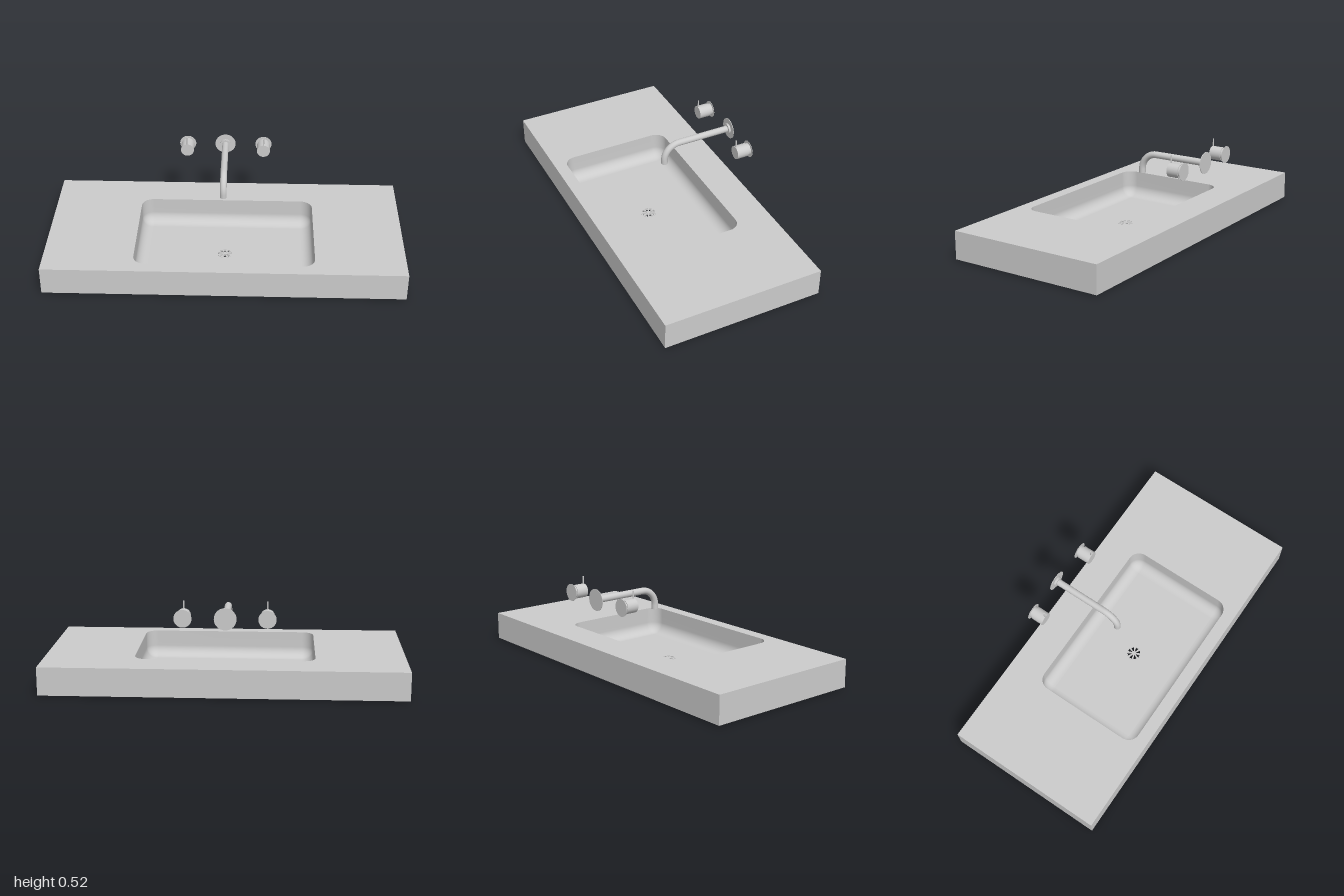
import * as THREE from 'three';

const grey = new THREE.MeshStandardMaterial({ color: 0xcccccc, side: THREE.DoubleSide });

const TOP = 0.163, BOTTOM = 0.005, FLOOR = 0.01, DEPTH = 0.91;
const BOWL = { z: 0.0625, hx: 0.5, hz: 0.3225, radius: 0.066, fillet: 0.062 };
const DRAIN = { x: -0.003, z: 0.065, r: 0.043 };

function add(parent, name, geometry, x = 0, y = 0, z = 0) {
  const mesh = new THREE.Mesh(geometry, grey);
  mesh.name = name;
  mesh.position.set(x, y, z);
  parent.add(mesh);
  return mesh;
}

// Rounded bowl outline in plan (shape y = -z), shrunk by an inset
function bowlOutline(inset) {
  const r = BOWL.radius - inset, points = [];
  const cx = BOWL.hx - BOWL.radius, cz = BOWL.hz - BOWL.radius;
  [[1, 1], [-1, 1], [-1, -1], [1, -1]].forEach(([sx, sy], q) => {
    for (let i = 0; i <= 10; i++) {
      const a = (q + i / 10) * Math.PI / 2;
      points.push(new THREE.Vector2(sx * cx + r * Math.cos(a), sy * cz + r * Math.sin(a) - BOWL.z));
    }
  });
  return points;
}

function rectangle() {
  const h = DEPTH / 2;
  return new THREE.Shape([[-1, -h], [1, -h], [1, h], [-1, h]].map(p => new THREE.Vector2(...p)));
}

function circle(x, y, r) {
  return new THREE.Path().absarc(x, y, r, 0, Math.PI * 2, true);
}

// Bowl side: straight wall running into a quarter-round at the floor
function bowlWall() {
  const f = BOWL.fillet, rows = [[0, TOP], [0, (TOP + FLOOR + f) / 2]];
  for (let i = 0; i <= 10; i++) {
    const a = i / 10 * Math.PI / 2;
    rows.push([f * (1 - Math.cos(a)), FLOOR + f * (1 - Math.sin(a))]);
  }
  const positions = [], index = [];
  let n = 0;
  rows.forEach(([inset, y], j) => {
    const ring = bowlOutline(inset);
    n = ring.length;
    ring.forEach((p, k) => {
      positions.push(p.x, y, -p.y);
      if (j === rows.length - 1) return;
      const a = j * n + k, b = j * n + (k + 1) % n;
      index.push(a, b, a + n, b, b + n, a + n);
    });
  });
  const g = new THREE.BufferGeometry();
  g.setAttribute('position', new THREE.Float32BufferAttribute(positions, 3));
  g.setIndex(index);
  g.computeVertexNormals();
  return g;
}

// Round grate with eight wedge-shaped slots
function drainGrate() {
  const shape = new THREE.Shape().absarc(0, 0, DRAIN.r, 0, Math.PI * 2, false);
  for (let i = 0; i < 8; i++) {
    const a = i * Math.PI / 4, hole = new THREE.Path();
    hole.absarc(0, 0, 0.037, a - 0.25, a + 0.25, false);
    hole.absarc(0, 0, 0.011, a + 0.15, a - 0.15, true);
    hole.closePath();
    shape.holes.push(hole);
  }
  return new THREE.ExtrudeGeometry(shape, { depth: 0.012, bevelEnabled: false, curveSegments: 24 })
    .rotateX(-Math.PI / 2);
}

// Cylinder along z between two depths
function rod(r, z0, z1, sides = 40) {
  return new THREE.CylinderGeometry(r, r, z1 - z0, sides).rotateX(Math.PI / 2).translate(0, 0, (z0 + z1) / 2);
}

function washbasin() {
  const basin = new THREE.Group();
  basin.name = 'basin';

  const top = rectangle();
  top.holes.push(new THREE.Path(bowlOutline(0)));
  add(basin, 'counterTop', new THREE.ShapeGeometry(top).rotateX(-Math.PI / 2), 0, TOP);

  const bottom = rectangle();
  bottom.holes.push(circle(DRAIN.x, DRAIN.z, DRAIN.r));
  add(basin, 'underside', new THREE.ShapeGeometry(bottom, 24).rotateX(Math.PI / 2), 0, BOTTOM);

  const sides = new THREE.CylinderGeometry(Math.SQRT1_2, Math.SQRT1_2, 1, 4, 1, true)
    .rotateY(Math.PI / 4).scale(2, TOP - BOTTOM, DEPTH).toNonIndexed();
  sides.computeVertexNormals();
  add(basin, 'counterSides', sides, 0, (TOP + BOTTOM) / 2);

  add(basin, 'bowlWall', bowlWall());
  const floor = new THREE.Shape(bowlOutline(BOWL.fillet));
  floor.holes.push(circle(DRAIN.x, -DRAIN.z, DRAIN.r));
  add(basin, 'bowlFloor', new THREE.ShapeGeometry(floor, 24).rotateX(-Math.PI / 2), 0, FLOOR);
  add(basin, 'drainGrate', drainGrate(), DRAIN.x, 0, DRAIN.z);
  return basin;
}

function spout() {
  const group = new THREE.Group();
  group.name = 'spout';
  const v = (y, z) => new THREE.Vector3(0, y, z);
  const r = 0.019, bend = 0.092, k = bend * 0.5523, endZ = -0.043;
  const path = new THREE.CubicBezierCurve3(
    v(0, endZ - bend), v(0, endZ - bend + k), v(k - bend, endZ), v(-bend, endZ));
  add(group, 'spoutArm', rod(r, -0.452, endZ - bend, 24));
  add(group, 'spoutBend', new THREE.TubeGeometry(path, 24, r, 24));
  add(group, 'spoutTip', new THREE.CylinderGeometry(r, r, 0.023, 24), 0, -bend - 0.0115, endZ);
  add(group, 'spoutCollar', rod(0.03, -0.452, -0.44));
  add(group, 'spoutWallPlate', rod(0.06, -0.455, -0.452, 48));
  return group;
}

function tapHandle() {
  const group = new THREE.Group();
  group.name = 'tapHandle';
  add(group, 'handleWallPlate', rod(0.048, -0.455, -0.453));
  add(group, 'handleBase', rod(0.034, -0.453, -0.437));
  add(group, 'handleBody', rod(0.038, -0.437, -0.369));
  add(group, 'handleLever', new THREE.CylinderGeometry(0.004, 0.004, 0.05, 12), 0, 0.055, -0.374);
  return group;
}

export function createModel() {
  const model = new THREE.Group();
  model.name = 'washbasin';
  model.add(washbasin());
  const tap = spout();
  tap.position.set(-0.015, 0.44, 0);
  model.add(tap);
  for (const x of [-0.237, 0.21]) {
    const handle = tapHandle();
    handle.position.set(x, 0.44, 0);
    model.add(handle);
  }
  return model;
}
